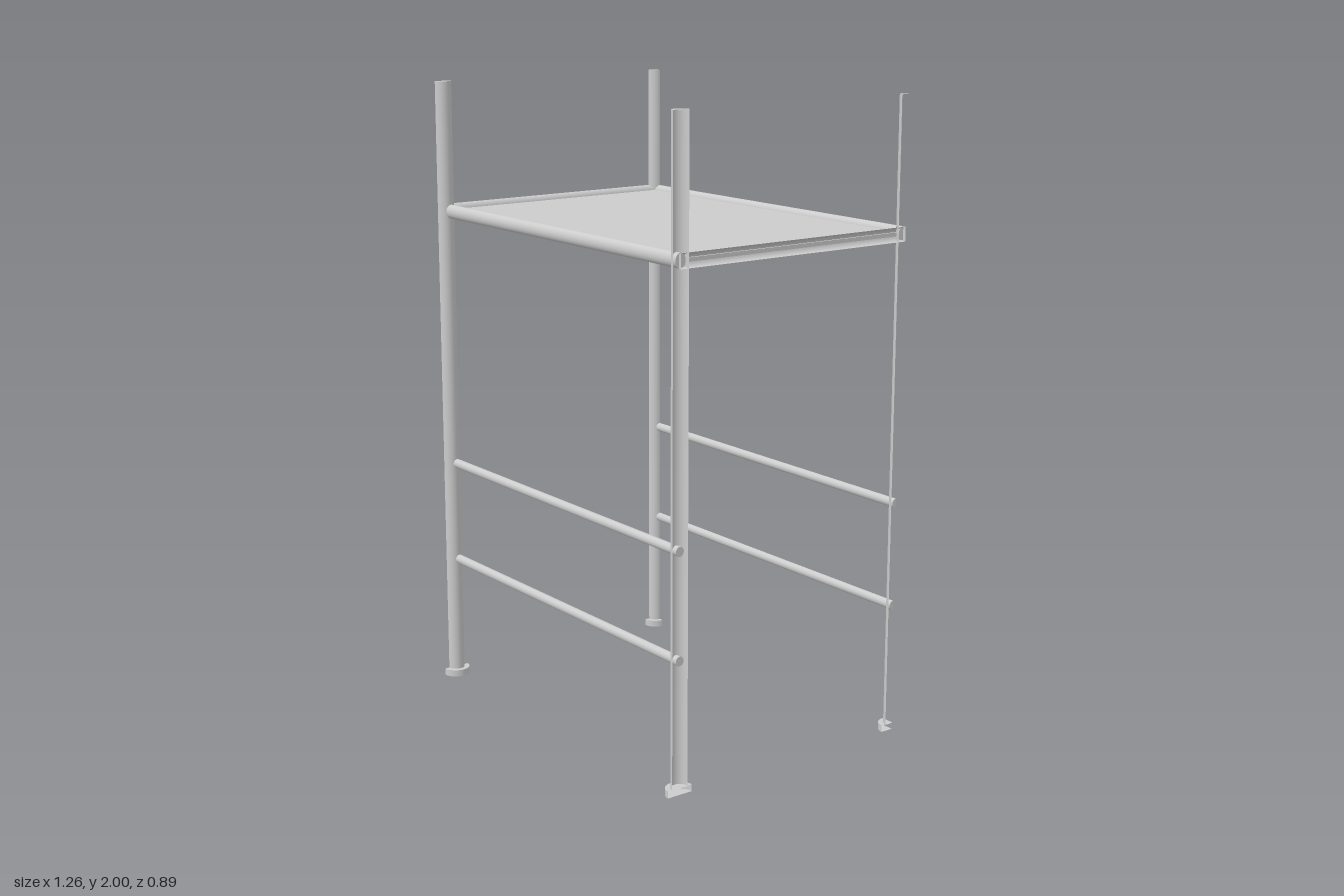
import * as THREE from 'three';

const PI = Math.PI;
const X = 0.63;       // outer side planes, where the round parts are cut open
const BACK = -0.445;  // rear plane, also a cut
const FRONT = 0.4;    // axis of the front posts

export function createModel() {
  const model = new THREE.Group();
  const metal = new THREE.MeshStandardMaterial({ color: 0xcccccc, side: THREE.DoubleSide });

  const add = (parent, name, geometry, x, y, z) => {
    const mesh = new THREE.Mesh(geometry, metal);
    mesh.name = name;
    mesh.position.set(x, y, z);
    parent.add(mesh);
    return mesh;
  };

  // Upright part of a cylinder, open along the cut
  const rod = (r, length, start = 0, sweep = 2 * PI) =>
    new THREE.CylinderGeometry(r, r, length, Math.round(sweep / PI * 16), 1, false, start, sweep);

  // Posts: half round at the front, quarter round at the back, each on a wider foot
  const addPost = (name, x, z, start, sweep) => {
    const post = new THREE.Group();
    post.name = name;
    post.position.set(x, 0, z);
    add(post, 'tube', rod(0.028, 1.98, start, sweep), 0, 1.01, 0);
    add(post, 'foot', rod(0.044, 0.022, start, sweep), 0, 0.011, 0);
    model.add(post);
  };
  addPost('frontPostRight', -X, FRONT, 0, PI);
  addPost('frontPostLeft', X, FRONT, PI, PI);
  addPost('rearPostRight', -X, BACK, 0, PI / 2);
  addPost('rearPostLeft', X, BACK, 1.5 * PI, PI / 2);

  // Crossbars: full round at the front, half round on the rear plane
  const addCrossbars = (name, y, ry, rz) => {
    const front = rod(1, 1.24).scale(ry, 1, rz).rotateZ(PI / 2);
    const rear = rod(1, 1.24, -PI / 2, PI).scale(ry, 1, rz).rotateZ(PI / 2);
    add(model, name + 'Front', front, 0, y, FRONT - 0.006);
    add(model, name + 'Rear', rear, 0, y, BACK);
  };
  addCrossbars('lowerRail', 0.41, 0.015, 0.014);
  addCrossbars('upperRail', 0.742, 0.015, 0.014);
  addCrossbars('shelfBeam', 1.583, 0.0225, 0.018);

  // Half-round side beams of the shelf
  for (const side of [-1, 1]) {
    const beam = rod(1, FRONT - BACK, side < 0 ? 0 : PI, PI)
      .scale(0.019, 1, 0.0225).rotateX(PI / 2);
    add(model, side < 0 ? 'sideBeamRight' : 'sideBeamLeft', beam, side * X, 1.583, (FRONT + BACK) / 2);
  }

  // Shelf panel set inside the frame
  const depth = FRONT - 0.012 - (BACK + 0.012);
  add(model, 'shelfPanel', new THREE.BoxGeometry(1.236, 0.012, depth), 0, 1.583, BACK + 0.012 + depth / 2);

  return model;
}
